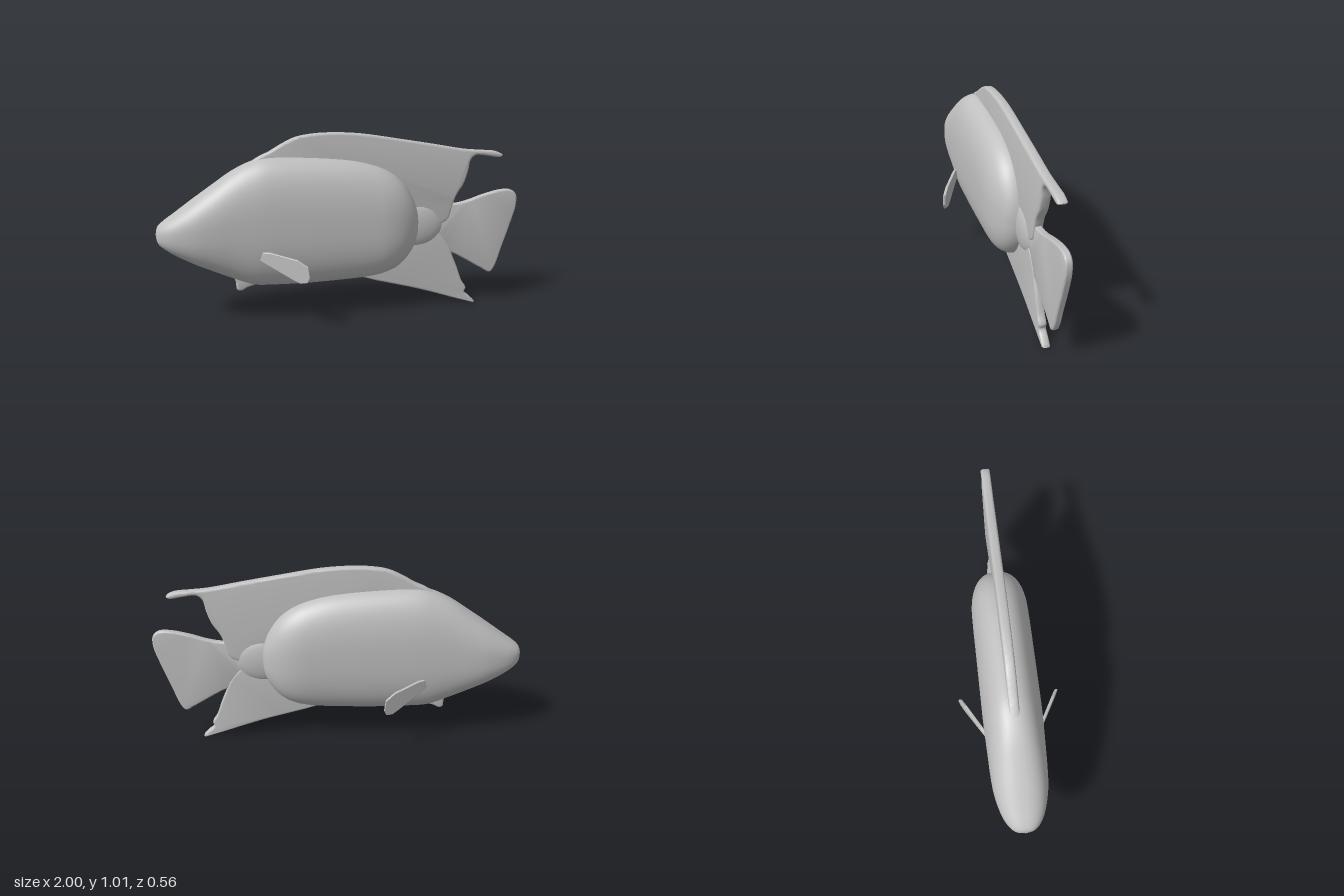
import * as THREE from 'three';
import { toCreasedNormals } from 'three/addons/utils/BufferGeometryUtils.js';

const skin = new THREE.MeshStandardMaterial({ color: 0xc0c0c0 });
skin.name = 'pale grey';

function addMesh(group, name, geometry) {
  const mesh = new THREE.Mesh(geometry, skin);
  mesh.name = name;
  group.add(mesh);
  return mesh;
}

// Body stations from nose to tail root: x, belly height, back height, half width
const stations = [
  [-1, 0.5, 0.5, 0], [-0.99, 0.455, 0.54, 0.045], [-0.96, 0.425, 0.568, 0.08], [-0.9, 0.385, 0.61, 0.112],
  [-0.8, 0.33, 0.682, 0.138], [-0.7, 0.283, 0.752, 0.147], [-0.6, 0.238, 0.82, 0.15],
  [-0.5, 0.2, 0.868, 0.153], [-0.4, 0.192, 0.89, 0.155], [-0.2, 0.19, 0.885, 0.155],
  [0, 0.197, 0.868, 0.155], [0.12, 0.205, 0.845, 0.155], [0.22, 0.222, 0.81, 0.152],
  [0.3, 0.258, 0.758, 0.135], [0.36, 0.318, 0.685, 0.106], [0.4, 0.39, 0.6, 0.07],
  [0.425, 0.495, 0.495, 0],
];

// Loft of rounded-oval rings along x
function bodyGeometry() {
  const curve = (f) => new THREE.CatmullRomCurve3(stations.map(f), false, 'catmullrom', 0.5);
  const sides = curve((s) => new THREE.Vector3(s[0], s[1], s[2]));
  const widths = curve((s) => new THREE.Vector3(s[0], s[3], 0));
  const rings = (stations.length - 1) * 4, around = 56, pos = [], index = [];
  const power = (v) => Math.sign(v) * Math.pow(Math.abs(v), 2 / 2.45);
  for (let i = 0; i <= rings; i++) {
    const p = sides.getPoint(i / rings), w = Math.max(0, widths.getPoint(i / rings).y);
    const mid = (p.y + p.z) / 2, half = Math.max(0, (p.z - p.y) / 2);
    for (let j = 0; j < around; j++) {
      const a = (j / around) * Math.PI * 2;
      pos.push(p.x, mid + half * power(Math.cos(a)), w * power(Math.sin(a)));
      if (i === rings) continue;
      const k = (j + 1) % around, r = i * around, n = r + around;
      index.push(r + j, r + k, n + j, r + k, n + k, n + j);
    }
  }
  const g = new THREE.BufferGeometry();
  g.setAttribute('position', new THREE.Float32BufferAttribute(pos, 3));
  g.setIndex(index);
  g.computeVertexNormals();
  return g;
}

// Plate with rounded rims, centred on z = 0; the outline may be smoothed
function plate(points, half, bevel, smooth = true) {
  let outline = points.map(([x, y]) => new THREE.Vector2(x, y));
  if (smooth) {
    const curve = new THREE.CatmullRomCurve3(points.map(([x, y]) => new THREE.Vector3(x, y, 0)), true);
    outline = curve.getPoints(points.length * 4).slice(0, -1).map((p) => new THREE.Vector2(p.x, p.y));
  }
  const depth = 2 * (half - bevel);
  const g = new THREE.ExtrudeGeometry(new THREE.Shape(outline), {
    depth, bevelEnabled: true, bevelThickness: bevel, bevelSize: bevel, bevelOffset: -bevel, bevelSegments: 3,
  });
  g.translate(0, 0, -depth / 2);
  return toCreasedNormals(g, 0.7);
}

const dorsal = [
  [-0.52, 0.84], [-0.46, 0.89], [-0.4, 0.918], [-0.34, 0.953], [-0.26, 0.99], [-0.17, 1.006], [-0.05, 1.01],
  [0.1, 1.0], [0.3, 0.968], [0.5, 0.934], [0.68, 0.902], [0.78, 0.893], [0.86, 0.885], [0.898, 0.865],
  [0.885, 0.853], [0.8, 0.864], [0.74, 0.868], [0.712, 0.845], [0.698, 0.78], [0.675, 0.71], [0.635, 0.645],
  [0.615, 0.59], [0.58, 0.5], [0.35, 0.48], [0.1, 0.65], [-0.3, 0.75],
];
const tail = [
  [0.3, 0.62], [0.5, 0.61], [0.62, 0.597], [0.7, 0.61], [0.8, 0.642], [0.9, 0.665], [0.96, 0.664], [0.992, 0.64],
  [0.998, 0.58], [0.97, 0.47], [0.925, 0.33], [0.888, 0.215], [0.86, 0.18], [0.81, 0.205], [0.7, 0.27],
  [0.62, 0.312], [0.5, 0.34], [0.3, 0.36],
];
const anal = [
  [0.06, 0.225], [0.15, 0.183], [0.25, 0.155], [0.4, 0.115], [0.55, 0.068], [0.68, 0.025], [0.775, 0.002],
  [0.745, 0.038], [0.71, 0.07], [0.717, 0.095], [0.69, 0.14], [0.66, 0.22], [0.63, 0.29], [0.6, 0.36],
  [0.5, 0.46], [0.3, 0.45], [0.15, 0.34],
];
const pectoral = [
  [-0.47, 0.37], [-0.45, 0.358], [-0.31, 0.283], [-0.275, 0.268], [-0.24, 0.276], [-0.228, 0.305],
  [-0.236, 0.362], [-0.285, 0.392], [-0.42, 0.418], [-0.455, 0.416],
];
const pelvic = [
  [-0.61, 0.27], [-0.597, 0.215], [-0.592, 0.172], [-0.57, 0.165], [-0.535, 0.182], [-0.49, 0.2], [-0.48, 0.27],
];

export function createModel() {
  const fish = new THREE.Group();
  fish.name = 'fish';
  addMesh(fish, 'body', bodyGeometry());

  // Fins on the centre line
  addMesh(fish, 'dorsalFin', plate(dorsal, 0.025, 0.012));
  addMesh(fish, 'tailFin', plate(tail, 0.018, 0.01));
  addMesh(fish, 'analFin', plate(anal, 0.021, 0.01));
  addMesh(fish, 'pelvicFin', plate(pelvic, 0.026, 0.012));

  // Swelling where the body runs into the tail
  const root = addMesh(fish, 'tailRoot', new THREE.SphereGeometry(1, 32, 20));
  root.scale.set(0.16, 0.13, 0.044);
  root.position.set(0.41, 0.485, 0);

  // Side fins, slanting outward toward the tail
  for (const side of [1, -1]) {
    const g = plate(pectoral, 0.009, 0.004, false);
    const p = g.attributes.position;
    for (let i = 0; i < p.count; i++) {
      p.setZ(i, p.getZ(i) + side * (0.148 + 0.55 * (p.getX(i) + 0.455)));
    }
    g.computeVertexNormals();
    addMesh(fish, side > 0 ? 'frontSideFin' : 'backSideFin', g);
  }
  return fish;
}
